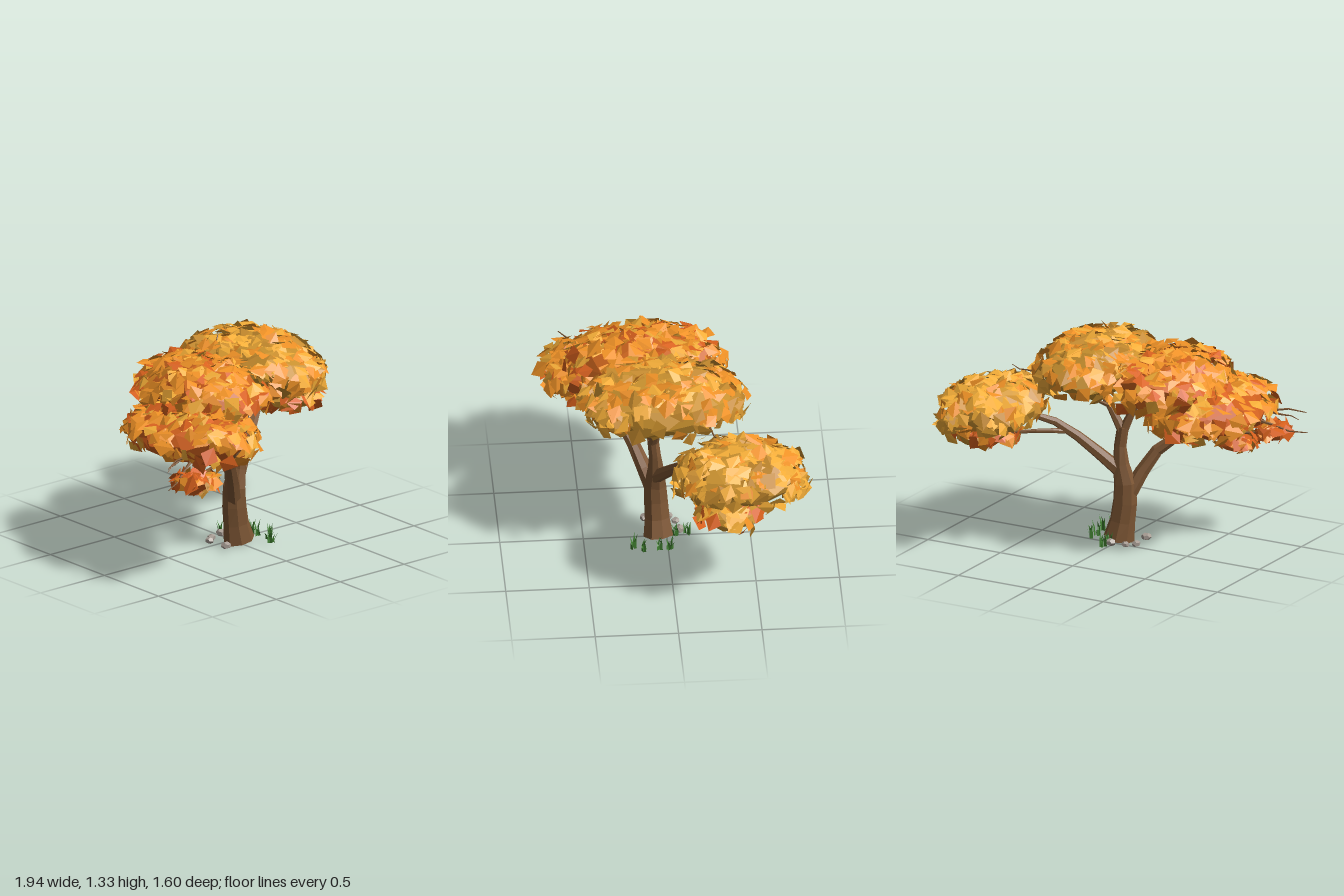
import * as THREE from 'three';

const V = (x, y, z) => new THREE.Vector3(x, y, z);
const material = (color, side = THREE.FrontSide) =>
  new THREE.MeshStandardMaterial({ color, side, flatShading: true });

// Small seeded generator
let seed = 7;
function rand(a = 0, b = 1) {
  seed = (seed * 16807) % 2147483647;
  return a + (b - a) * (seed / 2147483647);
}

function addMesh(parent, name, geometry, mat) {
  const mesh = new THREE.Mesh(geometry, mat);
  mesh.name = name;
  parent.add(mesh);
  return mesh;
}

function fromTriangles(positions) {
  const g = new THREE.BufferGeometry();
  g.setAttribute('position', new THREE.Float32BufferAttribute(positions, 3));
  g.computeVertexNormals();
  return g;
}

// Faceted limb along a smooth curve; radius(t) gives its taper
function limbGeometry(points, radius, sides, steps) {
  const curve = new THREE.CatmullRomCurve3(points.map((p) => V(...p)));
  const ref = V(0.31, 0.05, 0.95);
  const centres = curve.getSpacedPoints(steps);
  const rings = centres.map((c, i) => {
    const dir = curve.getTangentAt(i / steps);
    const u = ref.clone().addScaledVector(dir, -ref.dot(dir)).normalize();
    const w = dir.clone().cross(u);
    return Array.from({ length: sides }, (_, k) => {
      const a = (k / sides) * Math.PI * 2;
      const r = radius(i / steps) * (1 + 0.06 * Math.sin(k * 2.4 + i * 0.5));
      return c.clone().addScaledVector(u, r * Math.cos(a)).addScaledVector(w, r * Math.sin(a));
    });
  });
  const out = [];
  const tri = (...vs) => vs.forEach((v) => out.push(v.x, v.y, v.z));
  for (let k = 0; k < sides; k++) {
    const m = (k + 1) % sides;
    for (let i = 0; i < steps; i++) {
      tri(rings[i][k], rings[i][m], rings[i + 1][m]);
      tri(rings[i][k], rings[i + 1][m], rings[i + 1][k]);
    }
    tri(centres[0], rings[0][m], rings[0][k]);
    tri(centres[steps], rings[steps][k], rings[steps][m]);
  }
  return fromTriangles(out);
}

// Trunk, boughs and twigs
function buildWood(parent) {
  const bark = material(0x7d5634);

  // Leaning trunk with a flared foot
  const trunkPath = [[0.005, 0.01, 0.052], [-0.022, 0.14, 0.057], [-0.038, 0.34, 0.065], [0, 0.52, 0.065], [-0.012, 0.7, 0.082]];
  const trunkRadius = (t) => 0.072 - 0.036 * THREE.MathUtils.smoothstep(t, 0.4, 0.9) + 0.022 * Math.exp(-9 * t);
  addMesh(parent, 'trunk', limbGeometry(trunkPath, trunkRadius, 8, 6), bark);

  const bough = (name, r0, r1, ...path) => addMesh(parent, name,
    limbGeometry(path, (t) => THREE.MathUtils.lerp(r0, r1, t), 7, 5), bark);
  bough('leftBough', 0.052, 0.016, [-0.055, 0.29, 0.075], [-0.18, 0.55, 0.19], [-0.35, 0.685, 0.29], [-0.55, 0.8, 0.33]);
  bough('rightBough', 0.044, 0.012, [0, 0.43, 0.06], [0.2, 0.635, -0.06], [0.32, 0.74, -0.14], [0.55, 0.86, -0.36]);
  bough('rightSideBough', 0.017, 0.006, [0.26, 0.68, -0.1], [0.38, 0.695, -0.21], [0.68, 0.66, -0.34]);
  bough('topLeftBough', 0.032, 0.01, [-0.01, 0.67, 0.08], [-0.08, 0.84, 0.115], [-0.2, 0.98, 0.13]);
  bough('topRightBough', 0.032, 0.01, [-0.01, 0.67, 0.08], [0.07, 0.83, 0.06], [0.18, 1, 0.03]);
  bough('lowerLeftBough', 0.013, 0.005, [-0.24, 0.62, 0.24], [-0.5, 0.65, 0.38], [-0.78, 0.67, 0.53]);

  // Slender twigs run from one point to another with a slight crook
  const twig = (name, r, from, to, crook) => {
    const a = V(...from), b = V(...to);
    const p = a.clone().lerp(b, 0.35), q = a.clone().lerp(b, 0.7);
    p.y += crook;
    q.y -= crook;
    const path = [a, p, q, b].map((v) => v.toArray());
    addMesh(parent, name, limbGeometry(path, (t) => r * (1 - 0.8 * t), 5, 4), bark);
  };
  twig('topForkTwig', 0.014, [0.06, 0.82, 0.06], [0.16, 0.92, 0.1], 0);
  twig('backTwig', 0.014, [0.07, 0.83, 0.05], [0.2, 0.97, -0.1], -0.01);
  twig('crossTwig', 0.009, [-0.3, 0.65, 0.27], [-0.5, 0.72, 0.08], -0.01);
  twig('leftTipTwig', 0.014, [-0.6, 0.77, 0.4], [-0.995, 0.68, 0.59], 0.015);
  twig('leftUpperTwig', 0.014, [-0.6, 0.83, 0.4], [-0.99, 0.81, 0.58], -0.015);
  twig('leftForkTwig', 0.01, [-0.78, 0.83, 0.47], [-0.96, 0.77, 0.54], -0.01);
  twig('rightUpperTwig', 0.009, [0.36, 1.04, -0.22], [0.56, 1.1, -0.26], 0.012);
  twig('rightOuterTwig', 0.009, [0.7, 0.93, -0.4], [0.84, 0.98, -0.41], 0.01);
  twig('crownTwig', 0.01, [-0.12, 1.16, -0.04], [0, 1.27, -0.13], 0.01);
}

// Faceted canopy core inside the leaf shell, with a flatter underside
function coreGeometry({ c, r, up, down }, phase) {
  const g = new THREE.IcosahedronGeometry(0.84, 1);
  const p = g.attributes.position;
  for (let i = 0; i < p.count; i++) {
    const v = V().fromBufferAttribute(p, i);
    v.multiplyScalar(1 + 0.07 * Math.sin(v.x * 6 + phase) + 0.07 * Math.sin(v.z * 7 + v.y * 5 + phase * 2));
    p.setXYZ(i, c[0] + v.x * r[0], c[1] + v.y * (v.y > 0 ? up : down), c[2] + v.z * r[1]);
  }
  g.computeVertexNormals();
  return g;
}

// One square leaf, folded along its diagonal
function pushLeaf(out, centre, normal, size) {
  const u = V(rand(-1, 1), rand(-1, 1), rand(-1, 1)).cross(normal).normalize();
  const w = normal.clone().cross(u);
  const at = (a, b, h) => centre.clone().addScaledVector(u, a * size)
    .addScaledVector(w, b * size).addScaledVector(normal, h * size);
  const a = at(-0.66, 0, 0), b = at(0, -0.6, -0.12), c = at(0.66, 0, 0), d = at(0, 0.6, -0.12);
  for (const v of [a, b, c, a, c, d]) out.push(v.x, v.y, v.z);
}

const LEAF = { orange: 0xf09226, gold: 0xf5ae38, rust: 0xd9611d, ochre: 0xc88c2e };

// Canopy masses: centre, shell radii in x and z, height above and below, leaf count and colour mix
const CLUMPS = [
  { name: 'leftCanopy', c: [-0.53, 0.84, 0.25], r: [0.35, 0.47], up: 0.2, down: 0.17, n: 270,
    core: 0xd0601e, mix: ['orange', 'orange', 'rust', 'orange', 'gold'] },
  { name: 'upperLeftCanopy', c: [-0.31, 1.03, 0.1], r: [0.36, 0.47], up: 0.2, down: 0.17, n: 270,
    core: 0xcc651e, mix: ['orange', 'orange', 'rust', 'orange', 'gold'] },
  { name: 'upperRightCanopy', c: [0.13, 1.08, 0.03], r: [0.34, 0.5], up: 0.2, down: 0.18, n: 270,
    core: 0xc8902e, mix: ['orange', 'gold', 'orange', 'ochre', 'gold'] },
  { name: 'rightCanopy', c: [0.61, 0.85, -0.4], r: [0.29, 0.41], up: 0.2, down: 0.16, n: 220,
    core: 0xd69a33, mix: ['gold', 'gold', 'gold', 'ochre', 'orange'] },
  { name: 'lowerRightCanopy', c: [0.72, 0.67, -0.33], r: [0.22, 0.2], up: 0.09, down: 0.09, n: 65,
    core: 0xc8902e, mix: ['rust', 'gold', 'orange', 'rust'] },
  { name: 'lowerLeftCanopy', c: [-0.78, 0.67, 0.53], r: [0.11, 0.11], up: 0.06, down: 0.06, n: 28,
    core: 0xd0601e, mix: ['rust', 'rust', 'orange'] },
  { name: 'hangingLeftCanopy', c: [-0.6, 0.61, 0.41], r: [0.12, 0.12], up: 0.06, down: 0.06, n: 28,
    core: 0xd0601e, mix: ['rust', 'orange', 'ochre'] },
];

const insideCore = (k, p) => Math.hypot((p.x - k.c[0]) / k.r[0],
  (p.y - k.c[1]) / (p.y > k.c[1] ? k.up : k.down), (p.z - k.c[2]) / k.r[1]) < 0.75;

// Leaves form a loose shell: most over the top, the rest around the rim
function buildFoliage(parent) {
  CLUMPS.forEach((k, i) => {
    const group = new THREE.Group();
    group.name = k.name;
    parent.add(group);
    addMesh(group, 'canopyCore', coreGeometry(k, i * 1.7 + 0.4), material(k.core));
    const batches = {};
    for (let j = 0; j < k.n; j++) {
      const y = j % 3 ? Math.sqrt(rand()) : rand(-0.5, 0.3);
      const a = rand(0, Math.PI * 2), s = Math.sqrt(1 - y * y);
      const d = V(s * Math.cos(a), y, s * Math.sin(a));
      const h = y > 0 ? k.up : k.down, f = rand(0.9, 1.06);
      const pos = V(k.c[0] + d.x * k.r[0] * f, k.c[1] + d.y * h * f, k.c[2] + d.z * k.r[1] * f);
      if (CLUMPS.some((other) => insideCore(other, pos))) continue;
      const normal = V(d.x / k.r[0], d.y / h, d.z / k.r[1]).normalize()
        .add(V(rand(-0.55, 0.55), rand(-0.3, 0.6), rand(-0.55, 0.55))).normalize();
      const colour = k.mix[Math.floor(rand(0, k.mix.length))];
      pushLeaf((batches[colour] ??= []), pos, normal, rand(0.07, 0.105));
    }
    for (const colour in batches)
      addMesh(group, `${colour}Leaves`, fromTriangles(batches[colour]), material(LEAF[colour], THREE.DoubleSide));
  });
}

// Tuft of thin bent blades
function tuftGeometry(x, z) {
  const out = [];
  for (let b = 0; b < 7; b++) {
    const a = b * 0.9 + x * 20, px = x + rand(-0.015, 0.015), pz = z + rand(-0.015, 0.015);
    const h = rand(0.045, 0.1), sx = Math.cos(a) * 0.009, sz = Math.sin(a) * 0.009;
    const lx = -sz * 0.6, lz = sx * 0.6;
    const p = [[px - sx, 0, pz - sz], [px + sx, 0, pz + sz], [px + lx + sx * 0.7, h * 0.55, pz + lz + sz * 0.7],
      [px + lx - sx * 0.7, h * 0.55, pz + lz - sz * 0.7], [px + lx * 4, h, pz + lz * 4]];
    for (const i of [0, 1, 2, 0, 2, 3, 3, 2, 4]) out.push(...p[i]);
  }
  return fromTriangles(out);
}

export function createModel() {
  const tree = new THREE.Group();
  tree.name = 'autumnTree';
  for (const [name, build] of [['wood', buildWood], ['foliage', buildFoliage]]) {
    const group = new THREE.Group();
    group.name = name;
    tree.add(group);
    build(group);
  }

  // Stones around the foot
  const stone = material(0xa89d94);
  [[-0.15, 0.12, 0.032], [-0.16, -0.02, 0.028], [-0.02, -0.08, 0.032], [-0.11, -0.06, 0.026]].forEach(([x, z, r], i) => {
    const rock = addMesh(tree, 'stone', new THREE.DodecahedronGeometry(r, 0), stone);
    rock.position.set(x, r * 0.7, z);
    rock.scale.y = 0.75;
    rock.rotation.y = i * 1.3;
  });

  // Grass around the foot
  const grass = material(0x3f7d30, THREE.DoubleSide);
  for (const [x, z] of [[0.13, 0.21], [0.16, 0.15], [0.15, 0.05], [0.16, -0.01], [0.01, -0.05], [0.01, -0.12]])
    addMesh(tree, 'grassTuft', tuftGeometry(x, z), grass);
  return tree;
}
